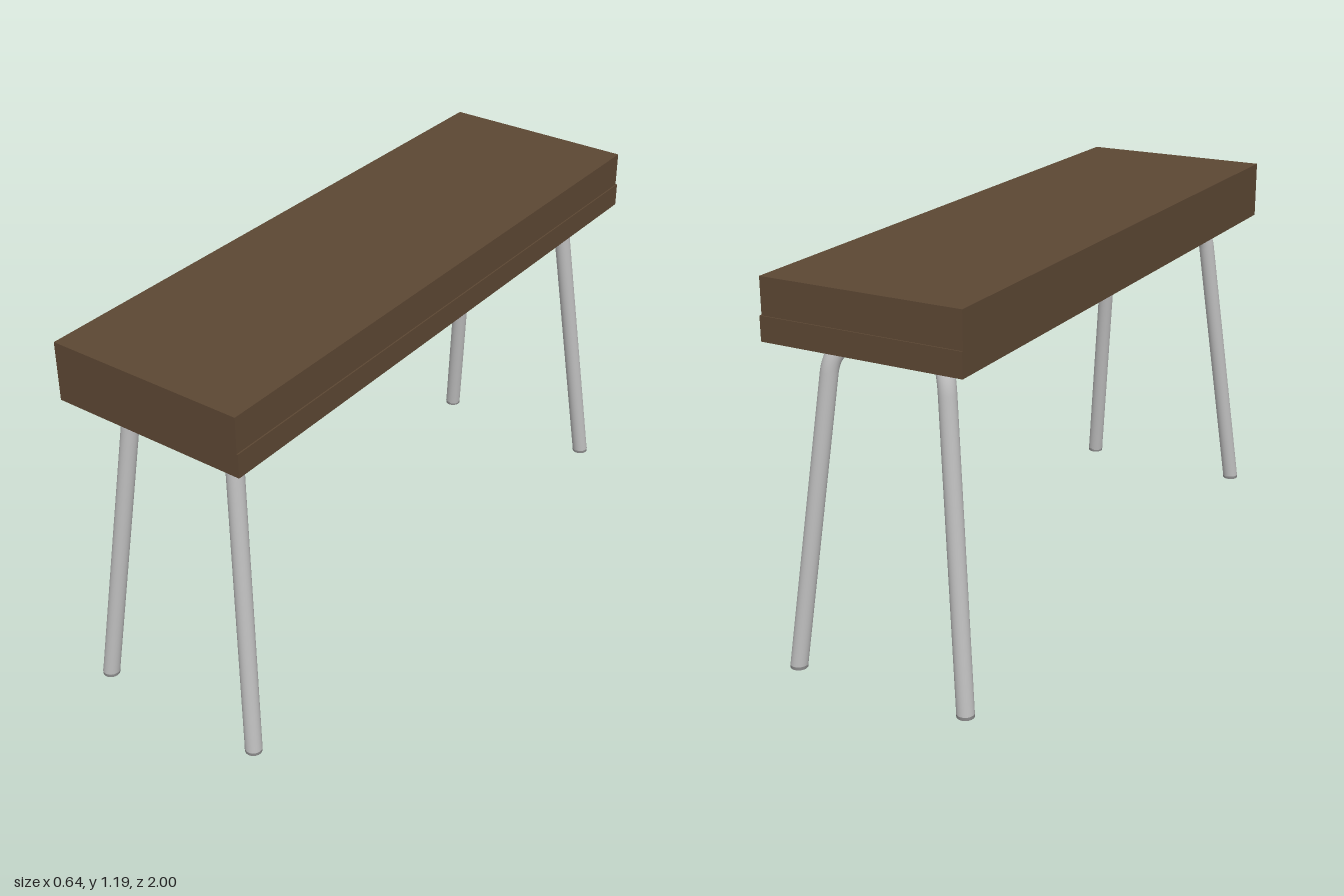
import * as THREE from 'three';

const R = 0.026;      // tube radius
const RAIL_Y = 0.99;  // height of the horizontal tubes

export function createModel() {
  const group = new THREE.Group();
  const brown = new THREE.MeshStandardMaterial({ color: 0x5c4733 });
  brown.name = 'brown seat';
  const steel = new THREE.MeshStandardMaterial({ color: 0xbdbdbd });
  steel.name = 'light steel';
  const grey = new THREE.MeshStandardMaterial({ color: 0x8c8c8c });
  grey.name = 'grey foot';

  const add = (name, geometry, material, x = 0, y = 0, z = 0) => {
    const mesh = new THREE.Mesh(geometry, material);
    mesh.name = name;
    mesh.position.set(x, y, z);
    group.add(mesh);
    return mesh;
  };

  // Seat: a base board and a cushion set back slightly on the left and rear sides
  add('seatBase', new THREE.BoxGeometry(0.638, 0.074, 2), brown, 0, 1.045, 0);
  add('seatCushion', new THREE.BoxGeometry(0.634, 0.11, 1.996), brown, -0.002, 1.137, 0.002);

  // Central rail under the seat
  add('centreRail', new THREE.CylinderGeometry(R, R, 1.38, 24), steel, 0, RAIL_Y, 0).rotation.x = Math.PI / 2;

  // Bent legs running diagonally out from the rail ends, then down to the floor
  for (const sx of [-1, 1]) {
    for (const sz of [-1, 1]) {
      const point = (x, y, z) => new THREE.Vector3(sx * x, y, sz * z);
      const hub = point(0, RAIL_Y, 0.68);
      const corner = point(0.183, RAIL_Y, 0.863);
      const floor = point(0.285, 0.006, 0.962);
      const bendIn = corner.clone().lerp(hub, 0.34);
      const bendOut = corner.clone().lerp(floor, 0.09);

      const path = new THREE.CurvePath();
      path.add(new THREE.LineCurve3(hub, bendIn));
      path.add(new THREE.QuadraticBezierCurve3(bendIn, corner, bendOut));
      path.add(new THREE.LineCurve3(bendOut, floor));
      add('leg', new THREE.TubeGeometry(path, 96, R, 24), steel);

      // Foot cap
      add('foot', new THREE.CylinderGeometry(R + 0.0005, R, 0.01, 24), grey, sx * 0.285, 0.005, sz * 0.962);
    }
  }

  // Rounded joints where the legs meet the rail
  for (const sz of [-1, 1]) add('joint', new THREE.SphereGeometry(R, 24, 16), steel, 0, RAIL_Y, sz * 0.68);

  return group;
}
